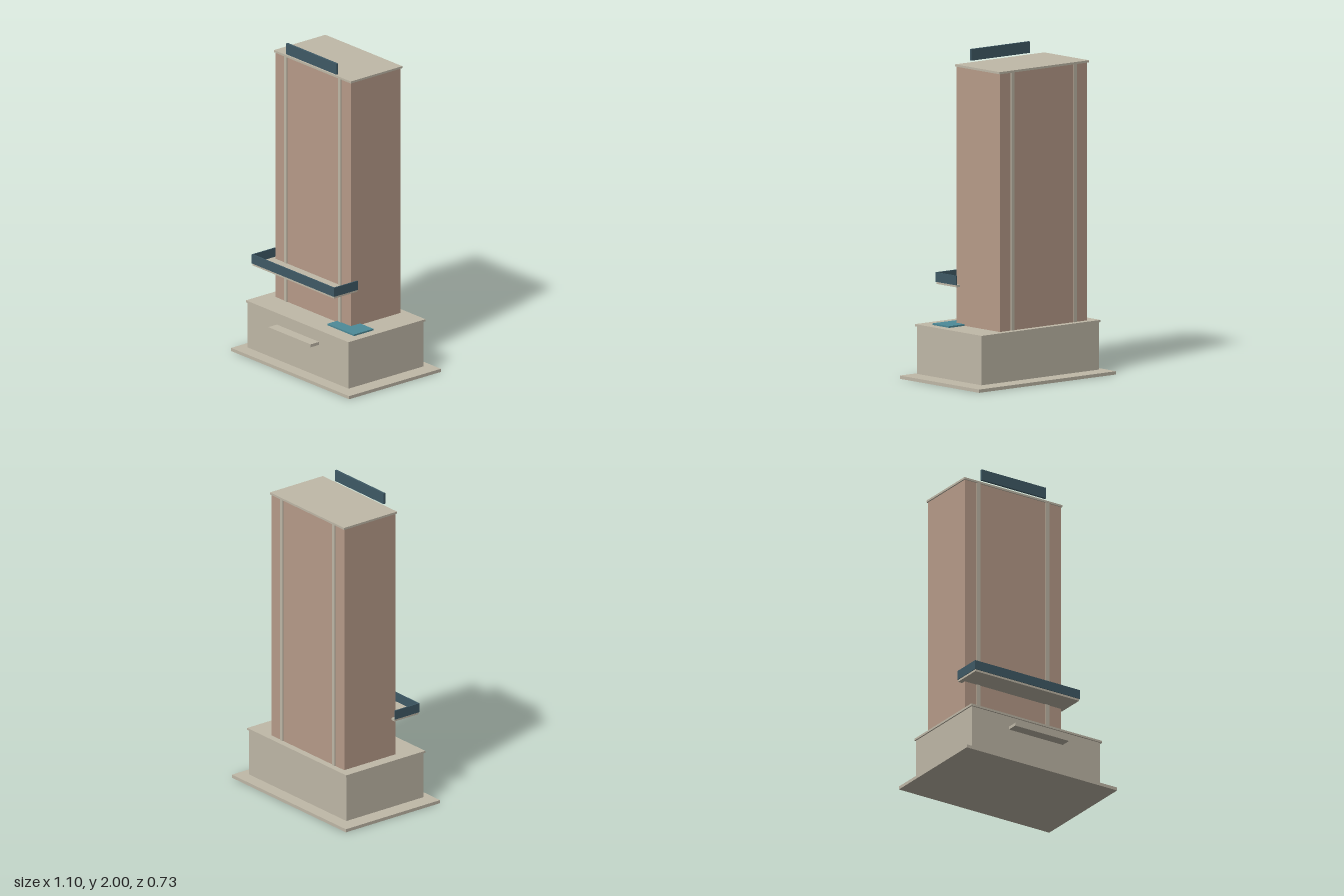
import * as THREE from 'three';

export function createModel() {
  const model = new THREE.Group();
  model.name = 'towerBlock';

  const paint = (name, color) => {
    const m = new THREE.MeshStandardMaterial({ color });
    m.name = name;
    return m;
  };
  const stone = paint('stone', 0xc0b9a8);
  const brick = paint('brick', 0xb89c8a);
  const glass = paint('darkGlass', 0x3f5a66);
  const water = paint('poolWater', 0x4d8a98);

  // Box given by its extents on each axis
  const block = (name, material, [x0, x1], [y0, y1], [z0, z1], parent = model) => {
    const mesh = new THREE.Mesh(new THREE.BoxGeometry(x1 - x0, y1 - y0, z1 - z0), material);
    mesh.position.set((x0 + x1) / 2, (y0 + y1) / 2, (z0 + z1) / 2);
    mesh.name = name;
    parent.add(mesh);
    return mesh;
  };

  // Ground slab and podium
  block('groundSlab', stone, [-0.548, 0.548], [0, 0.02], [-0.366, 0.362]);
  block('podium', stone, [-0.468, 0.468], [0.03, 0.322], [-0.298, 0.298]);
  block('podiumRoof', stone, [-0.476, 0.476], [0.32, 0.333], [-0.306, 0.306]);
  block('entranceCanopy', stone, [-0.197, 0.195], [0.235, 0.254], [0.29, 0.366]);
  block('pool', water, [0.17, 0.418], [0.333, 0.343], [0.058, 0.212]);

  // Tower shaft, roof slab and the screen above its front edge
  block('towerShaft', brick, [-0.405, 0.294], [0.333, 1.908], [-0.264, 0.132]);
  block('towerRoof', stone, [-0.413, 0.301], [1.907, 1.92], [-0.271, 0.138]);
  block('roofScreen', glass, [-0.291, 0.177], [1.93, 2], [0.132, 0.145]);

  // Vertical fins, two on the front and two on the back
  const fins = new THREE.Group();
  fins.name = 'fins';
  model.add(fins);
  for (const x of [-0.307, 0.194]) {
    block('frontFin', stone, [x - 0.0125, x + 0.0125], [0.333, 1.908], [0.125, 0.137], fins);
    block('backFin', stone, [x - 0.0125, x + 0.0125], [0.333, 1.908], [-0.27, -0.257], fins);
  }

  // Terrace wrapping the front, with a glass railing on three sides
  block('terraceSlab', stone, [-0.435, 0.321], [0.565, 0.579], [0.102, 0.288]);
  const railing = new THREE.Group();
  railing.name = 'terraceRailing';
  model.add(railing);
  const railY = [0.578, 0.636];
  block('frontRail', glass, [-0.439, 0.325], railY, [0.284, 0.292], railing);
  block('rightRail', glass, [-0.439, -0.432], railY, [0.102, 0.284], railing);
  block('leftRail', glass, [0.318, 0.325], railY, [0.102, 0.284], railing);

  return model;
}
